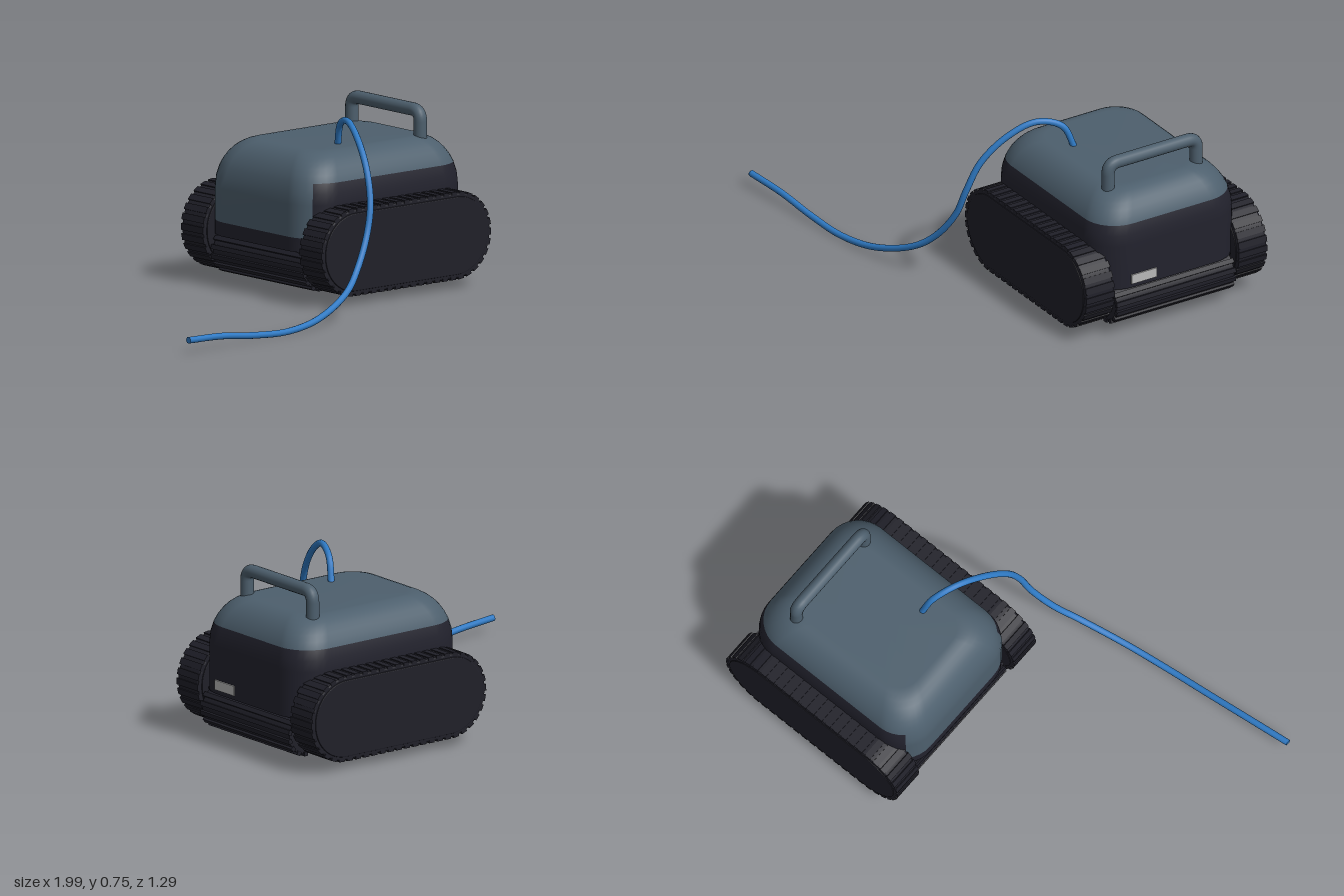
import * as THREE from 'three';
import { mergeGeometries } from 'three/addons/utils/BufferGeometryUtils.js';

const CX = 0.5225, CZ = -0.195; // centre of the machine

// Rounded rectangle loop, counter-clockwise from above
function loop(hx, hz, r, y, seg = 8) {
  const pts = [];
  for (let q = 0; q < 4; q++) {
    const sx = q === 0 || q === 3 ? 1 : -1, sz = q < 2 ? -1 : 1;
    for (let k = 0; k <= seg; k++) {
      const a = (q + k / seg) * Math.PI / 2;
      pts.push([CX + sx * (hx - r) + r * Math.cos(a), y, CZ + sz * (hz - r) - r * Math.sin(a)]);
    }
  }
  return pts;
}

// Domed body: group 0 is the dark shell, group 1 the grey cover
function bodyGeometry() {
  const split = Math.asin(0.09 / 0.205);
  const rows = [[0.22, 0], [0.28, 0], [0.42, 0]];
  for (const t of [split / 2, split, 0.62, 0.78, 0.94, 1.1, 1.26, 1.42, Math.PI / 2])
    rows.push([0.42 + 0.205 * Math.sin(t), 0.15 * (1 - Math.cos(t))]);
  const rings = rows.map(([y, inset]) => loop(0.4425 - inset, 0.355 - inset, 0.15 - inset * 0.4, y));
  const n = rings[0].length, pos = rings.flat(2), dark = [], grey = [];
  for (let j = 0; j < rings.length - 1; j++) {
    for (let i = 0; i < n; i++) {
      const k = (i + 1) % n, a = j * n + i, b = j * n + k;
      const midX = (rings[0][i][0] + rings[0][k][0]) / 2;
      const isGrey = rows[j][0] > 0.505 || (midX < 0.135 && j >= 1);
      (isGrey ? grey : dark).push(a, b, b + n, a, b + n, a + n);
    }
  }
  // Top and bottom caps
  const top = pos.length / 3;
  pos.push(CX, 0.626, CZ);
  const bottom = top + 1;
  pos.push(CX, 0.22, CZ, ...rings[0].flat());
  for (let i = 0; i < n; i++) {
    const k = (i + 1) % n, last = (rings.length - 1) * n;
    grey.push(top, last + i, last + k);
    dark.push(bottom, bottom + 1 + k, bottom + 1 + i);
  }
  const g = new THREE.BufferGeometry();
  g.setAttribute('position', new THREE.Float32BufferAttribute(pos, 3));
  g.setIndex([...dark, ...grey]);
  g.addGroup(0, dark.length, 0);
  g.addGroup(dark.length, grey.length, 1);
  g.computeVertexNormals();
  return g;
}

const HALF = 0.28, TY = 0.23; // track straight half-length and axle height

function stadium(r) {
  const s = new THREE.Shape();
  s.absarc(HALF, 0, r, -Math.PI / 2, Math.PI / 2, false);
  s.absarc(-HALF, 0, r, Math.PI / 2, Math.PI * 1.5, false);
  s.closePath();
  return s;
}

function slab(r, depth, bevel) {
  const g = new THREE.ExtrudeGeometry(stadium(r - bevel), {
    depth: depth - 2 * bevel, bevelEnabled: bevel > 0, bevelSize: bevel,
    bevelThickness: bevel, bevelSegments: 2, curveSegments: 24,
  });
  g.translate(0, 0, -depth / 2 + bevel);
  return g;
}

// Tread bars spaced evenly around the track
function treads(r, count) {
  const bars = [], straight = 2 * HALF, arc = Math.PI * r;
  for (let i = 0; i < count; i++) {
    let d = (i + 0.5) / count * 2 * (straight + arc);
    const flip = d >= straight + arc;
    if (flip) d -= straight + arc;
    const bar = new THREE.BoxGeometry(0.028, 0.016, 0.14);
    bar.translate(0, r - 0.004, 0);
    if (d < straight) bar.translate(d - HALF, 0, 0);
    else bar.rotateZ(-(d - straight) / r).translate(HALF, 0, 0);
    if (flip) bar.rotateZ(Math.PI);
    bars.push(bar);
  }
  return mergeGeometries(bars);
}

// Ribbed cleaning roller
function rollerGeometry() {
  const parts = [new THREE.CylinderGeometry(0.086, 0.086, 0.58, 32).rotateX(Math.PI / 2)];
  for (let i = 0; i < 14; i++) {
    parts.push(new THREE.BoxGeometry(0.02, 0.018, 0.59).translate(0, 0.086, 0)
      .rotateZ(i / 14 * Math.PI * 2));
  }
  return mergeGeometries(parts);
}

export function createModel() {
  const model = new THREE.Group();
  const mat = (name, color) => {
    const m = new THREE.MeshStandardMaterial({ color });
    m.name = name;
    return m;
  };
  const shell = mat('darkShell', 0x22222d);
  const rubber = mat('blackRubber', 0x1f1f28);
  const grey = mat('slateGrey', 0x4d5f6d);
  const blue = mat('cableBlue', 0x2f7ac4);
  const silver = mat('labelSilver', 0xb8b8b8);
  const add = (name, geo, material, x = 0, y = 0, z = 0, parent = model) => {
    const m = new THREE.Mesh(geo, material);
    m.name = name;
    m.position.set(x, y, z);
    parent.add(m);
    return m;
  };

  add('body', bodyGeometry(), [shell, grey]);

  // Chassis between the tracks, with its underside plate
  add('chassis', new THREE.BoxGeometry(0.72, 0.17, 0.59), shell, CX + 0.01, 0.155, CZ);
  add('bottomPlate', new THREE.BoxGeometry(0.5, 0.008, 0.5), rubber, CX, 0.067, CZ);

  // Rollers at both ends
  const roller = rollerGeometry();
  add('frontRoller', roller, rubber, 0.89, 0.145, CZ);
  add('rearRoller', roller, rubber, 0.18, 0.145, CZ);

  // Tracks
  for (const side of [1, -1]) {
    const track = new THREE.Group();
    track.name = side > 0 ? 'frontTrack' : 'backTrack';
    track.position.set(0.52, TY, CZ + side * 0.378);
    add('belt', slab(0.182, 0.14, 0.01), rubber, 0, 0, 0, track);
    add('treadBars', treads(0.182, 52), rubber, 0, 0, 0, track);
    add('sidePlate', slab(0.165, 0.148, 0.004), rubber, 0, 0, 0, track);
    model.add(track);
  }

  // Carry handle
  const path = new THREE.CurvePath();
  const v = (y, z) => new THREE.Vector3(0.795, y, z);
  const z0 = 0.023, z1 = -0.413, yt = 0.727, r = 0.045;
  path.add(new THREE.LineCurve3(v(0.57, z0), v(yt - r, z0)));
  path.add(new THREE.QuadraticBezierCurve3(v(yt - r, z0), v(yt, z0), v(yt, z0 - r)));
  path.add(new THREE.LineCurve3(v(yt, z0 - r), v(yt, z1 + r)));
  path.add(new THREE.QuadraticBezierCurve3(v(yt, z1 + r), v(yt, z1), v(yt - r, z1)));
  path.add(new THREE.LineCurve3(v(yt - r, z1), v(0.57, z1)));
  add('handle', new THREE.TubeGeometry(path, 90, 0.028, 16), grey);

  // Floating power cable
  const cable = new THREE.CatmullRomCurve3([
    [-1, 0.065, 0.628], [-0.8, 0.055, 0.607], [-0.6, 0.031, 0.59], [-0.4, 0.02, 0.57],
    [-0.2, 0.045, 0.535], [0, 0.12, 0.475], [0.1, 0.2, 0.428], [0.19, 0.33, 0.385],
    [0.23, 0.45, 0.36], [0.258, 0.58, 0.305], [0.3, 0.69, 0.2], [0.345, 0.745, 0.085],
    [0.388, 0.715, -0.015], [0.412, 0.61, -0.06],
  ].map(p => new THREE.Vector3(...p)));
  add('cable', new THREE.TubeGeometry(cable, 140, 0.014, 12), blue);
  add('cableEnd', new THREE.CylinderGeometry(0.014, 0.014, 0.004, 12).rotateZ(Math.PI / 2),
    blue, -0.998, 0.065, 0.628);

  // Rating plate
  add('label', new THREE.BoxGeometry(0.008, 0.042, 0.125), silver, 0.967, 0.26, -0.043);

  return model;
}
